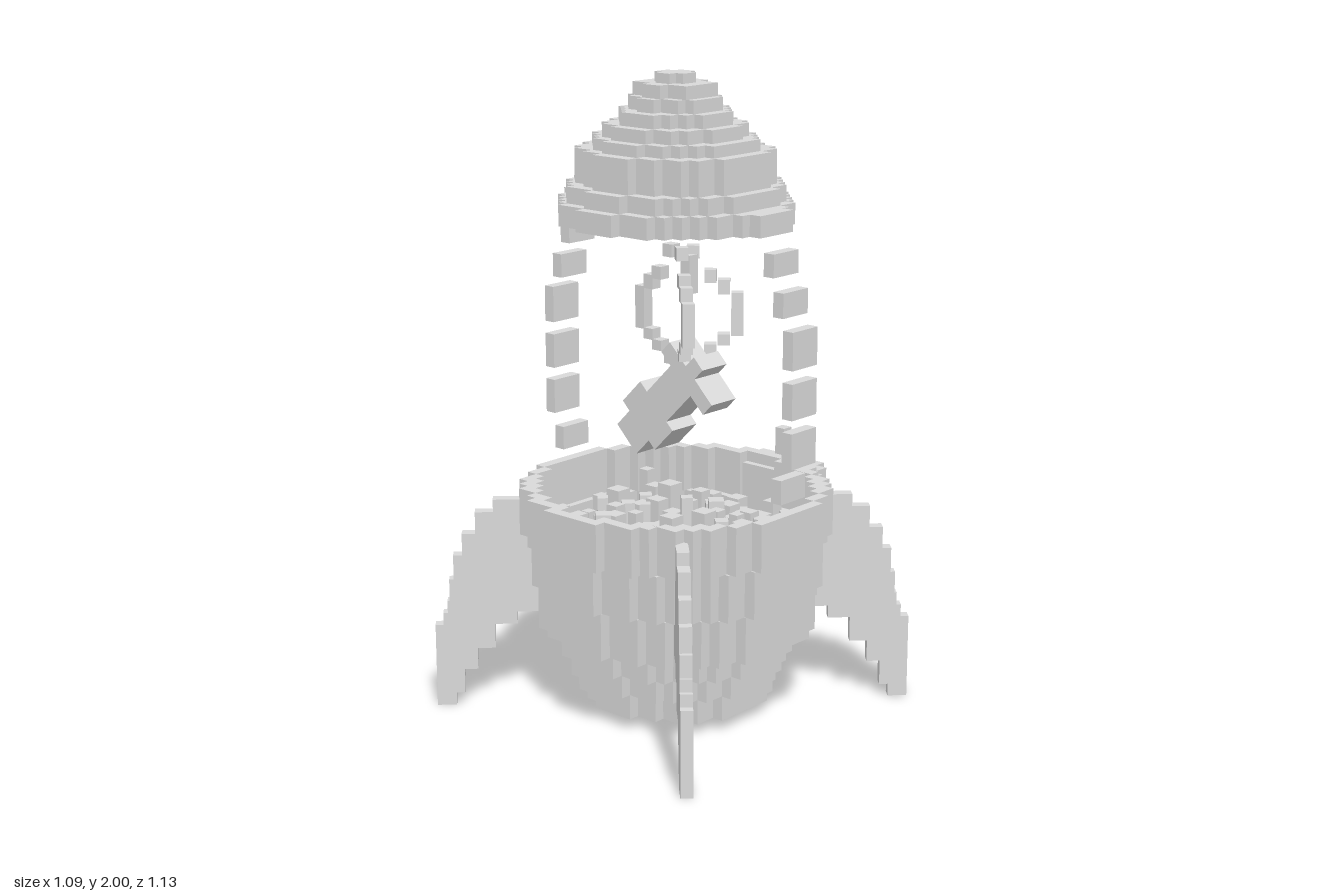
import * as THREE from 'three';

const V = 0.0375;            // voxel size
const CX = 0.01, CZ = 0.027; // axis of the rocket

export function createModel() {
  const root = new THREE.Group();
  const grey = new THREE.MeshStandardMaterial({ color: 0xd9d9d9 });
  grey.name = 'grey';

  const group = (name, parent = root) => {
    const g = new THREE.Group();
    g.name = name;
    parent.add(g);
    return g;
  };
  // Box given by its minimum and maximum corners
  const box = (name, parent, x0, x1, y0, y1, z0, z1) => {
    const m = new THREE.Mesh(new THREE.BoxGeometry(x1 - x0, y1 - y0, z1 - z0), grey);
    m.name = name;
    m.position.set((x0 + x1) / 2, (y0 + y1) / 2, (z0 + z1) / 2);
    parent.add(m);
    return m;
  };
  // Stepped outline of a disc with a radius of n cells of size v
  const outline = (n, v, Type) => {
    const right = [];
    for (let i = -n; i < n; i++) {
      const edge = Math.max(Math.abs(i), Math.abs(i + 1));
      const h = Math.max(1, Math.min(n, Math.round(Math.sqrt((n + 0.25) ** 2 - edge * edge)))) * v;
      right.push(new THREE.Vector2(h, i * v), new THREE.Vector2(h, (i + 1) * v));
    }
    const left = right.map(p => new THREE.Vector2(-p.x, p.y)).reverse();
    return new Type([...right, ...left].filter((p, i, a) => i === 0 || !p.equals(a[i - 1])));
  };
  // Voxel disc, or a ring when an inner radius is given
  const tier = (name, parent, y0, y1, r, inner = 0) => {
    const n = Math.max(1, Math.round(r / V)), v = r / n;
    const hole = Math.min(n - 1, Math.round(inner / v));
    const shape = outline(n, v, THREE.Shape);
    if (hole > 0) shape.holes.push(outline(hole, v, THREE.Path));
    const geo = new THREE.ExtrudeGeometry(shape, { depth: y1 - y0, bevelEnabled: false });
    geo.rotateX(-Math.PI / 2);
    const m = new THREE.Mesh(geo, grey);
    m.name = name;
    m.position.set(CX, y0, CZ);
    parent.add(m);
  };

  // Lower hull: solid below, open bowl above
  const hull = group('hull');
  [[0.04, 0.12, 0.29], [0.12, 0.195, 0.325], [0.195, 0.27, 0.365],
    [0.27, 0.42, 0.42], [0.42, 0.53, 0.45]].forEach(([a, b, r]) => tier('hullTier', hull, a, b, r));
  tier('hullWall', hull, 0.53, 0.57, 0.45, 0.41);
  tier('hullRim', hull, 0.57, 0.72, 0.471, 0.435);

  // Rough filling inside the bowl, with a few taller spikes
  const filling = group('filling');
  let seed = 7;
  const rnd = () => (seed = (seed * 16807) % 2147483647) / 2147483647;
  for (let i = -6; i <= 6; i++) {
    for (let j = -6; j <= 6; j++) {
      const x = i * 0.064 + (rnd() - 0.5) * 0.03, z = j * 0.064 + (rnd() - 0.5) * 0.03;
      const h = 0.01 + rnd() * 0.09 + (rnd() < 0.15 ? 0.05 : 0), turned = rnd() < 0.3;
      if (Math.hypot(x, z) > 0.385) continue;
      const s = 0.016 + rnd() * 0.012;
      const m = box('fillingBit', filling, CX + x - s, CX + x + s, 0.52, 0.53 + h, CZ + z - s, CZ + z + s);
      if (turned) m.rotation.y = Math.PI / 4;
    }
  }

  // Nose cone: hollow stepped shell
  const nose = group('noseCone');
  const cone = [[1.555, 0.357], [1.62, 0.322], [1.67, 0.285], [1.775, 0.245], [1.81, 0.207],
    [1.85, 0.17], [1.89, 0.132], [1.93, 0.107], [1.97, 0.057], [2.0, 0]];
  for (let i = 0; i < cone.length - 1; i++) {
    const [y, r] = cone[i], [top, next] = cone[i + 1];
    tier('noseTier', nose, y, top, r, i < 7 ? next - V * 0.4 : 0);
  }
  // Side lips on the cone's lower edge
  for (const s of [-1, 1]) {
    const x = CX + s * 0.37;
    box('noseLip', nose, x - 0.0275, x + 0.0275, 1.555, 1.62, CZ - 0.075, CZ + 0.075);
  }

  // Four diagonal fins, one stepped row at a time: y0, y1, inner and outer diagonal offset
  const finRows = [[0, 0.04, 0.50, 0.543], [0.04, 0.12, 0.48, 0.543], [0.12, 0.19, 0.45, 0.543],
    [0.19, 0.27, 0.41, 0.543], [0.27, 0.31, 0.36, 0.525], [0.31, 0.35, 0.28, 0.515],
    [0.35, 0.42, 0.29, 0.51], [0.42, 0.50, 0.30, 0.50], [0.50, 0.57, 0.31, 0.48],
    [0.57, 0.64, 0.33, 0.45], [0.64, 0.68, 0.34, 0.41]];
  for (let k = 0; k < 4; k++) {
    const fin = group('fin');
    fin.position.set(0, 0, 0.027);
    fin.rotation.y = Math.PI / 4 + k * Math.PI / 2;
    for (const [y0, y1, a, b] of finRows) {
      box('finRow', fin, (a - 0.012) * Math.SQRT2, (b - 0.012) * Math.SQRT2, y0, y1, -V / 2, V / 2);
    }
  }

  // Floating blocks that trace the missing middle of the hull
  const sides = group('sideBlocks');
  for (const s of [-1, 1]) {
    for (const [r, y0, y1] of [[0.415, 1.44, 1.51], [0.452, 1.325, 1.4], [0.49, 1.175, 1.29],
      [0.49, 1.025, 1.135], [0.49, 0.875, 0.985], [0.452, 0.76, 0.835]]) {
      const x = CX + s * r;
      box('sideBlock', sides, x - V / 2, x + V / 2, y0, y1, CZ - 0.057, CZ + 0.057);
    }
  }

  // Three thin arcs meeting on the axis: heading and radius factor
  const cage = group('arcCage');
  for (const [angle, k] of [[Math.PI, 1], [0.7, 1.18], [-0.7, 1.18]]) {
    const arc = group('arc', cage);
    arc.position.set(CX, 0, 0.007);
    arc.rotation.y = angle;
    for (const [r, y0, y1] of [[0.03, 1.1, 1.135], [0.08, 1.135, 1.168], [0.115, 1.165, 1.2],
      [0.15, 1.195, 1.33], [0.115, 1.325, 1.37], [0.08, 1.36, 1.4], [0.035, 1.435, 1.475]]) {
      box('arcBlock', arc, r * k - V / 2, r * k + V / 2, y0, y1, -V / 2, V / 2);
    }
  }
  box('arcStem', cage, 0.03, 0.067, 1.33, 1.45, -0.012, 0.026);

  // Tilted object in the middle: centre x, centre y, length, width
  const tilted = group('tiltedBlock');
  for (const [x, y, l, w] of [[-0.024, 0.968, 0.34, 0.115], [-0.056, 0.939, 0.105, 0.19],
    [0.105, 1.085, 0.05, 0.24], [0.135, 1.12, 0.05, 0.05]]) {
    const m = box('tiltedPiece', tilted, x - l / 2, x + l / 2, y - w / 2, y + w / 2, CZ - 0.056, CZ + 0.056);
    m.rotation.z = Math.PI / 4;
  }

  // Hatch on the back, stepping in towards the hull as it goes down, and its post
  const hatch = group('backHatch');
  for (const [hw, y0, z0, z1] of [[0.13, 0.5, -0.56, -0.515], [0.17, 0.42, -0.52, -0.445], [0.21, 0.35, -0.45, -0.385]]) {
    box('hatchStep', hatch, CX - hw, CX + hw, y0, 0.685, z0, z1);
  }
  box('hatchPost', hatch, -0.007, 0.03, 0.68, 0.795, -0.522, -0.485);

  return root;
}
